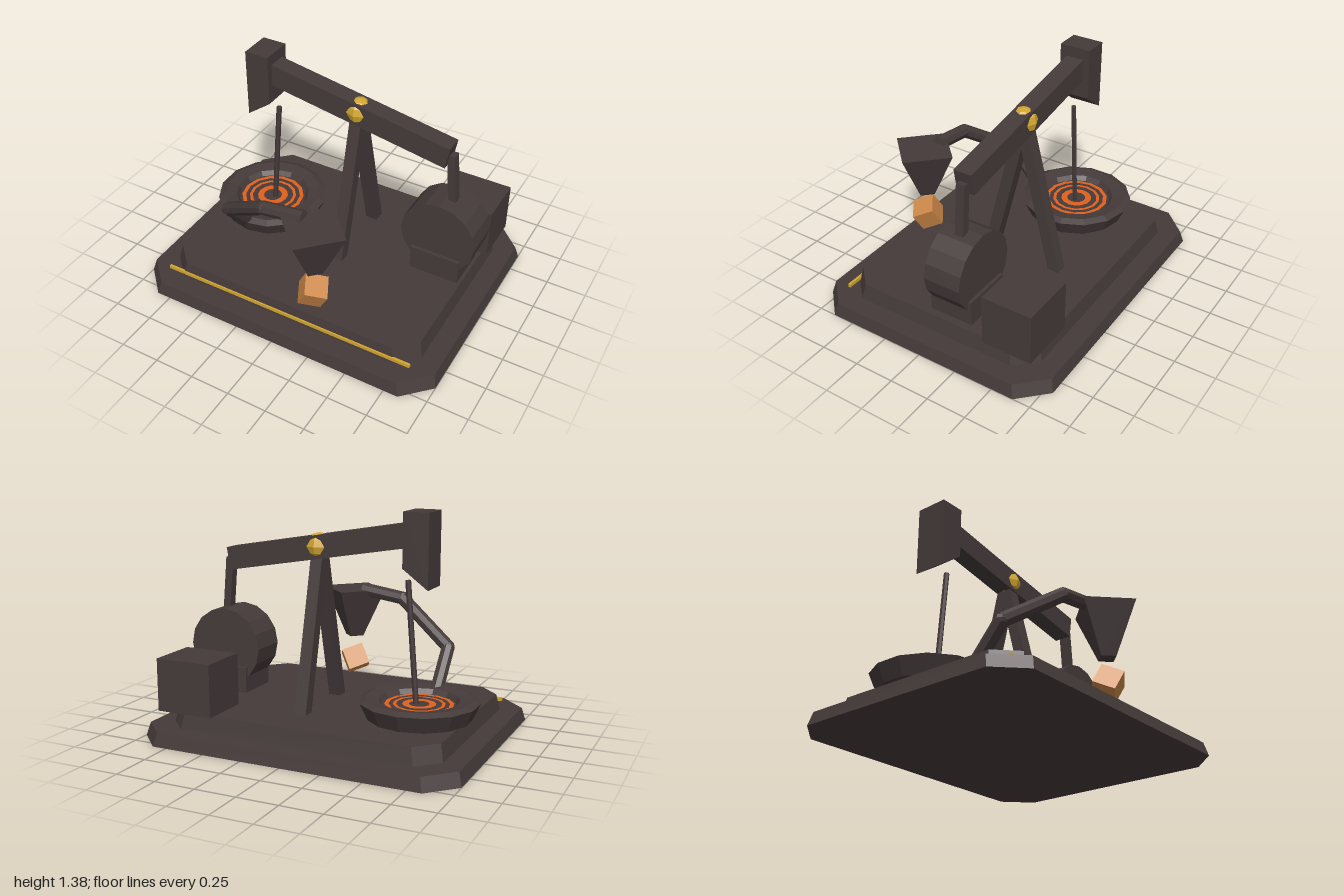
import * as THREE from 'three';

const flat = (name, color) => {
  const m = new THREE.MeshStandardMaterial({ color, flatShading: true });
  m.name = name;
  return m;
};

export function createModel() {
  const group = new THREE.Group();
  const iron = flat('dark iron', 0x453a3a);
  const gold = flat('gold', 0xd2a630);
  const copper = flat('copper crate', 0xcc8848);
  const lava = flat('molten orange', 0xe0601c);

  const add = (name, geo, mat, x = 0, y = 0, z = 0) => {
    const mesh = new THREE.Mesh(geo, mat);
    mesh.name = name;
    mesh.position.set(x, y, z);
    group.add(mesh);
    return mesh;
  };
  const box = (name, mat, w, h, d, x, y, z) => add(name, new THREE.BoxGeometry(w, h, d), mat, x, y, z);

  // Place a geometry built along y between two points
  const span = (name, geo, a, b) => {
    const mesh = add(name, geo, iron);
    const dir = b.clone().sub(a).normalize();
    mesh.position.copy(a).add(b).multiplyScalar(0.5);
    mesh.quaternion.setFromUnitVectors(new THREE.Vector3(0, 1, 0), dir);
    return mesh;
  };
  const v = (x, y, z) => new THREE.Vector3(x, y, z);

  // Slab with cut corners and sloping sides
  const slab = (name, hx, hz, cut, y0, y1, inset) => {
    const loop = (x, z, y) => [
      [x, z - cut], [x - cut, z], [cut - x, z], [-x, z - cut],
      [-x, cut - z], [cut - x, -z], [x - cut, -z], [x, cut - z],
    ].map(([px, pz]) => [px, y, pz]);
    const pos = [...loop(hx, hz, y0), ...loop(hx - inset, hz - inset, y1)].flat();
    const idx = [];
    for (let i = 0; i < 8; i++) {
      const j = (i + 1) % 8;
      idx.push(i, i + 8, j, j, i + 8, j + 8);
      if (i > 0 && i < 7) idx.push(0, i, i + 1, 8, i + 9, i + 8);
    }
    const geo = new THREE.BufferGeometry();
    geo.setAttribute('position', new THREE.Float32BufferAttribute(pos, 3));
    geo.setIndex(idx);
    // loops run clockwise from above, so turn every face outwards
    for (let i = 0; i < idx.length; i += 3) [idx[i + 1], idx[i + 2]] = [idx[i + 2], idx[i + 1]];
    geo.setIndex(orientOutward(pos, idx, v(0, (y0 + y1) / 2, 0)));
    const out = geo.toNonIndexed();
    out.computeVertexNormals();
    add(name, out, iron);
  };

  // Base
  slab('lowerBase', 1, 0.8, 0.16, 0, 0.08, 0.02);
  slab('upperBase', 0.86, 0.66, 0.125, 0.08, 0.18, 0.02);
  box('frontTrim', gold, 1.68, 0.022, 0.016, 0, 0.11, 0.653);

  // Well basin with a glowing pool
  const rim = [[0, 0.18], [0.31, 0.18], [0.357, 0.28], [0.315, 0.298], [0.24, 0.285], [0.22, 0.255], [0, 0.255]];
  add('basin', new THREE.LatheGeometry(rim.map(([r, y]) => new THREE.Vector2(r, y)), 14), iron, -0.565, 0, -0.125);
  [[0.06, 0.1], [0.135, 0.155], [0.18, 0.205]].forEach(([a, b], i) => {
    add('moltenRing' + (i + 1), new THREE.RingGeometry(a, b, 14).rotateX(-Math.PI / 2), lava, -0.565, 0.259, -0.125);
  });
  span('pumpRod', new THREE.CylinderGeometry(0.017, 0.017, 0.735, 6), v(-0.545, 0.25, -0.125), v(-0.485, 0.98, -0.125));

  // Bent feed pipe, mitred at each elbow
  const path = new THREE.CurvePath();
  const bends = [v(-0.565, 0.25, 0.16), v(-0.565, 0.49, 0.37), v(-0.2, 0.745, 0.515), v(0.075, 0.785, 0.515)];
  for (let i = 0; i < 3; i++) {
    const len = bends[i].distanceTo(bends[i + 1]);
    span('feedPipe' + (i + 1), new THREE.CylinderGeometry(0.043, 0.043, len, 8), bends[i], bends[i + 1]);
    if (i) add('pipeElbow' + i, new THREE.SphereGeometry(0.043, 8, 6), iron, ...bends[i].toArray());
  }

  // Hopper and the crate dropping from it
  add('hopper', new THREE.CylinderGeometry(0.217, 0.063, 0.32, 4), iron, 0.16, 0.62, 0.56);
  const crate = box('crate', copper, 0.14, 0.14, 0.14, 0.155, 0.3, 0.562);
  crate.quaternion.setFromRotationMatrix(new THREE.Matrix4().makeBasis(
    v(-0.056, 0.056, -0.116).normalize(), v(-0.068, -0.12, -0.026).normalize(), v(-0.109, 0.043, 0.077).normalize()));

  // A-frame legs
  [-1, 1].forEach((s) => {
    const leg = span(s > 0 ? 'frontLeg' : 'backLeg', new THREE.BoxGeometry(0.075, 0.98, 0.075),
      v(0.077, 0.17, -0.122 + s * 0.237), v(0.077, 1.12, -0.122));
    leg.updateMatrix();
  });

  // Walking beam, pivot and head
  box('walkingBeam', iron, 1.21, 0.14, 0.115, 0.08, 1.143, -0.12).rotation.z = -0.171;
  add('pivot', new THREE.SphereGeometry(0.082, 8, 6), gold, 0.08, 1.145, -0.12);
  const head = new THREE.Shape([[-0.64, 0.945], [-0.485, 1.06], [-0.485, 1.38], [-0.64, 1.38]]
    .map(([x, y]) => new THREE.Vector2(x, y)));
  add('beamHead', new THREE.ExtrudeGeometry(head, { depth: 0.2, bevelEnabled: false }), iron, 0, 0, -0.22);

  // Crank wheel, link and stand
  const wheel = new THREE.CylinderGeometry(0.238, 0.238, 0.238, 16).rotateX(Math.PI / 2);
  add('crankWheel', wheel, iron, 0.677, 0.5, -0.12);
  span('crankLink', new THREE.BoxGeometry(0.048, 0.4, 0.056), v(0.721, 0.645, -0.12), v(0.687, 1.043, -0.12));
  box('wheelStand', iron, 0.315, 0.157, 0.28, 0.678, 0.303, -0.12);

  // Engine housing with a gold panel
  box('engineHousing', iron, 0.36, 0.32, 0.318, 0.697, 0.34, -0.518);
  box('enginePanel', gold, 0.28, 0.08, 0.009, 0.697, 0.345, -0.355);

  return group;
}

// Flip any triangle of a convex solid that faces its centre
function orientOutward(pos, idx, centre) {
  const p = (i) => new THREE.Vector3().fromArray(pos, i * 3);
  const out = [];
  for (let i = 0; i < idx.length; i += 3) {
    const [a, b, c] = [idx[i], idx[i + 1], idx[i + 2]];
    const n = p(b).sub(p(a)).cross(p(c).sub(p(a)));
    if (n.dot(p(a).sub(centre)) > 0) out.push(a, b, c);
    else out.push(a, c, b);
  }
  return out;
}
